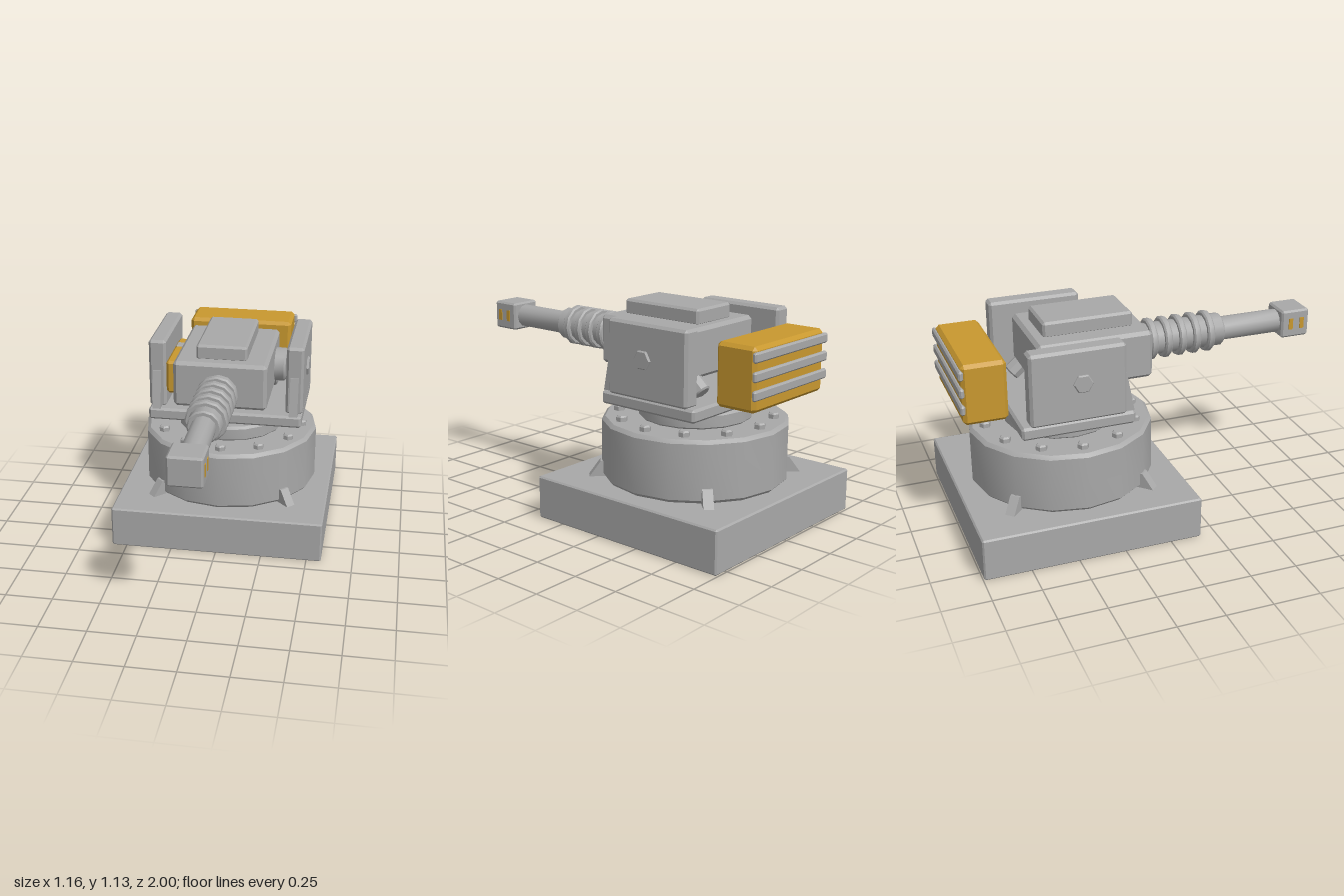
import * as THREE from 'three';
import { toCreasedNormals } from 'three/addons/utils/BufferGeometryUtils.js';
import { ConvexGeometry } from 'three/addons/geometries/ConvexGeometry.js';

export function createModel() {
  const model = new THREE.Group();
  const grey = new THREE.MeshStandardMaterial({ color: 0xa8a8a8 });
  grey.name = 'grey metal';
  const yellow = new THREE.MeshStandardMaterial({ color: 0xc8982f });
  yellow.name = 'ochre paint';
  const CZ = -0.415; // turning axis

  function add(name, geometry, material = grey) {
    const mesh = new THREE.Mesh(geometry, material);
    mesh.name = name;
    model.add(mesh);
    return mesh;
  }

  // Box with chamfered edges, given by its limits on each axis
  function block(name, [x0, x1], [y0, y1], [z0, z1], c, material) {
    const half = [(x1 - x0) / 2, (y1 - y0) / 2, (z1 - z0) / 2];
    const points = [];
    for (const sx of [-1, 1]) for (const sy of [-1, 1]) for (const sz of [-1, 1]) {
      for (let axis = 0; axis < 3; axis++) {
        const p = half.map((h, i) => (i === axis ? h : h - c));
        points.push(new THREE.Vector3(p[0] * sx, p[1] * sy, p[2] * sz));
      }
    }
    const mesh = add(name, new ConvexGeometry(points), material);
    mesh.position.set((x0 + x1) / 2, (y0 + y1) / 2, (z0 + z1) / 2);
    return mesh;
  }

  // Upright chamfered cylinder from y = 0 to y = h
  function drum(r, h, c, sides) {
    const profile = [[0, 0], [r - c, 0], [r, c], [r, h - c], [r - c, h], [0, h]];
    const lathe = new THREE.LatheGeometry(profile.map(p => new THREE.Vector2(...p)), sides);
    return toCreasedNormals(lathe, 0.6);
  }

  // Flat plate cut from an outline, centred on its thickness
  function plate(points, thickness) {
    const shape = new THREE.Shape(points.map(p => new THREE.Vector2(...p)));
    return new THREE.ExtrudeGeometry(shape, { depth: thickness, bevelEnabled: false })
      .translate(0, 0, -thickness / 2);
  }

  // Pedestal
  block('base', [-0.58, 0.58], [0, 0.228], [-0.995, 0.165], 0.008);
  add('pedestalDrum', drum(0.487, 0.322, 0.018, 16)).position.set(0, 0.228, CZ);
  add('neckRing', drum(0.295, 0.085, 0.013, 16)).position.set(0, 0.545, CZ);
  for (let i = 0; i < 12; i++) {
    const a = i * Math.PI / 6;
    add('drumBolt', drum(0.03, 0.04, 0.008, 6))
      .position.set(0.403 * Math.sin(a), 0.54, CZ + 0.403 * Math.cos(a));
  }
  for (let i = 0; i < 4; i++) {
    const gusset = plate([[0.45, 0.22], [0.56, 0.22], [0.495, 0.31], [0.45, 0.31]], 0.052);
    gusset.rotateY(Math.PI / 4 + i * Math.PI / 2);
    add('gusset', gusset).position.z = CZ;
  }

  // Turntable and cheeks
  block('turntable', [-0.422, 0.422], [0.645, 0.712], [-0.73, -0.14], 0.012);
  for (const s of [-1, 1]) {
    const limits = (a, b) => (s > 0 ? [a, b] : [-b, -a]);
    block('cheek', limits(0.33, 0.425), [0.705, 1.09], [-0.685, -0.187], 0.014);
    const brace = plate([[-0.22, 0.71], [-0.14, 0.71], [-0.18, 0.92], [-0.22, 0.92]], 0.046);
    add('cheekBrace', brace.rotateY(-Math.PI / 2)).position.x = s * 0.378;
    add('cheekBoss', drum(0.052, 0.022, 0.006, 6).rotateZ(-s * Math.PI / 2))
      .position.set(s * 0.415, 0.91, CZ);
  }

  // Gun housing
  block('housing', [-0.25, 0.25], [0.802, 1.055], [-0.588, 0.018], 0.018);
  block('hatch', [-0.136, 0.136], [1.045, 1.13], [-0.527, -0.05], 0.012);
  add('trunnion', drum(0.092, 0.08, 0.01, 16).rotateZ(-Math.PI / 2))
    .position.set(0.232, 0.91, CZ);
  block('ammoBox', [-0.322, -0.24], [0.802, 0.988], [-0.532, -0.15], 0.014, yellow);
  block('ammoBoxClasp', [-0.312, -0.245], [0.97, 0.994], [-0.447, -0.387], 0.005);
  const hose = add('feedHose', drum(0.048, 0.3, 0.008, 8));
  hose.position.set(0.204, 0.735, -0.615);
  hose.rotation.x = 0.85;

  // Rear box with cooling fins and front studs
  block('rearBox', [-0.295, 0.295], [0.713, 1.032], [-0.985, -0.758], 0.018, yellow);
  for (const y of [0.803, 0.893, 0.985]) {
    block('coolingFin', [-0.31, 0.31], [y - 0.025, y + 0.025], [-1, -0.975], 0.008);
  }
  for (const x of [-0.2, 0.2]) {
    add('rearBoxStud', drum(0.026, 0.03, 0.008, 6).rotateX(Math.PI / 2))
      .position.set(x, 0.87, -0.775);
  }

  // Barrel with ringed sleeve
  const along = (name, r, z0, z1, c) =>
    add(name, drum(r, z1 - z0, c, 12).rotateX(Math.PI / 2)).position.set(0, 0.908, z0);
  along('barrelSleeve', 0.088, 0, 0.5, 0.008);
  for (let i = 0; i < 5; i++) {
    const z = 0.09 + i * 0.081;
    along('sleeveRing', 0.111, z - 0.02, z + 0.02, 0.008);
  }
  along('barrel', 0.064, 0.48, 0.86, 0.005);

  // Muzzle block with painted side windows
  block('muzzle', [-0.087, 0.087], [0.832, 0.986], [0.838, 1], 0.01);
  for (const s of [-1, 1]) for (const z of [0.892, 0.957]) {
    add('muzzleWindow', new THREE.BoxGeometry(0.008, 0.062, 0.024), yellow)
      .position.set(s * 0.087, 0.91, z);
  }
  return model;
}
